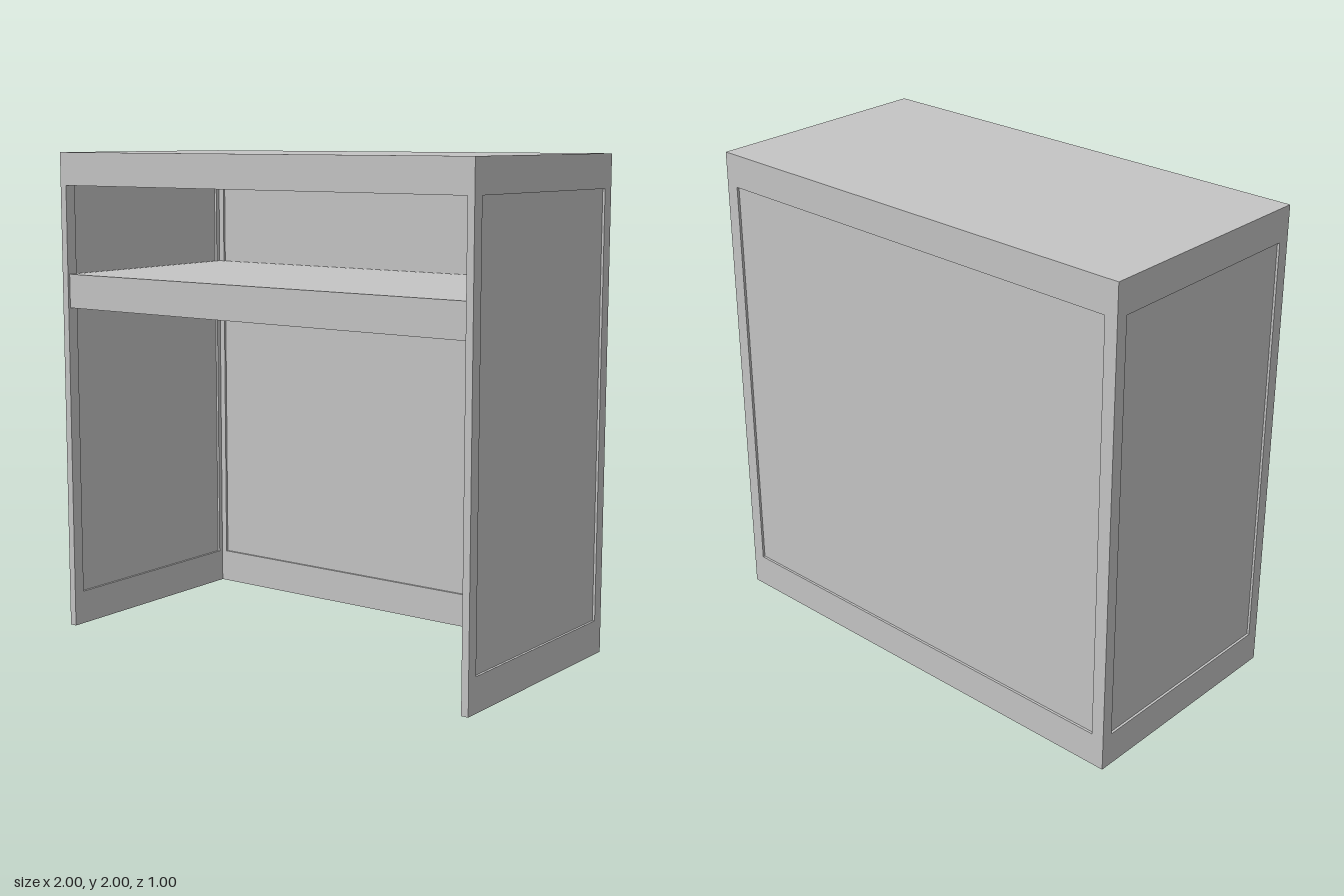
import * as THREE from 'three';

const H = 2, SLAB = 0.135, T = 0.03, RECESS = 0.01;
const WALL_H = H - SLAB, SILL = 0.14;

export function createModel() {
  const grey = new THREE.MeshStandardMaterial({ color: 0xc4c4c4 });
  grey.name = 'grey paint';
  const model = new THREE.Group();
  model.name = 'desk';

  const box = (name, w, h, d, x, y, z, parent = model) => {
    const mesh = new THREE.Mesh(new THREE.BoxGeometry(w, h, d), grey);
    mesh.name = name;
    mesh.position.set(x, y, z);
    parent.add(mesh);
    return mesh;
  };

  // Wall in the XY plane: U-shaped frame around a thin panel recessed on both faces
  const wall = (name, halfWidth, halfPanel) => {
    const group = new THREE.Group();
    group.name = name;
    const shape = new THREE.Shape([
      [-halfWidth, 0], [halfWidth, 0], [halfWidth, WALL_H], [halfPanel, WALL_H],
      [halfPanel, SILL], [-halfPanel, SILL], [-halfPanel, WALL_H], [-halfWidth, WALL_H],
    ].map(([x, y]) => new THREE.Vector2(x, y)));
    const geometry = new THREE.ExtrudeGeometry(shape, { depth: T, bevelEnabled: false });
    geometry.translate(0, 0, -T / 2);
    const frame = new THREE.Mesh(geometry, grey);
    frame.name = name + 'Frame';
    group.add(frame);
    box(name + 'Panel', halfPanel * 2, WALL_H - SILL, T - 2 * RECESS,
      0, (WALL_H + SILL) / 2, 0, group);
    model.add(group);
    return group;
  };

  // Thick top
  box('top', 2, SLAB, 1, 0, H - SLAB / 2, 0);

  // Side walls
  for (const [name, side] of [['leftSide', 1], ['rightSide', -1]]) {
    const group = wall(name, 0.5, 0.45);
    group.rotation.y = side * Math.PI / 2;
    group.position.x = side * (1 - T / 2);
  }

  // Back wall between the sides
  wall('back', 1 - T, 0.945).position.z = -0.5 + T / 2;

  // Shelf, set slightly behind the front edges
  const front = 0.49, rear = -0.5 + T;
  box('shelf', 2 - 2 * T, 0.14, front - rear, 0, 1.43, (front + rear) / 2);

  return model;
}
